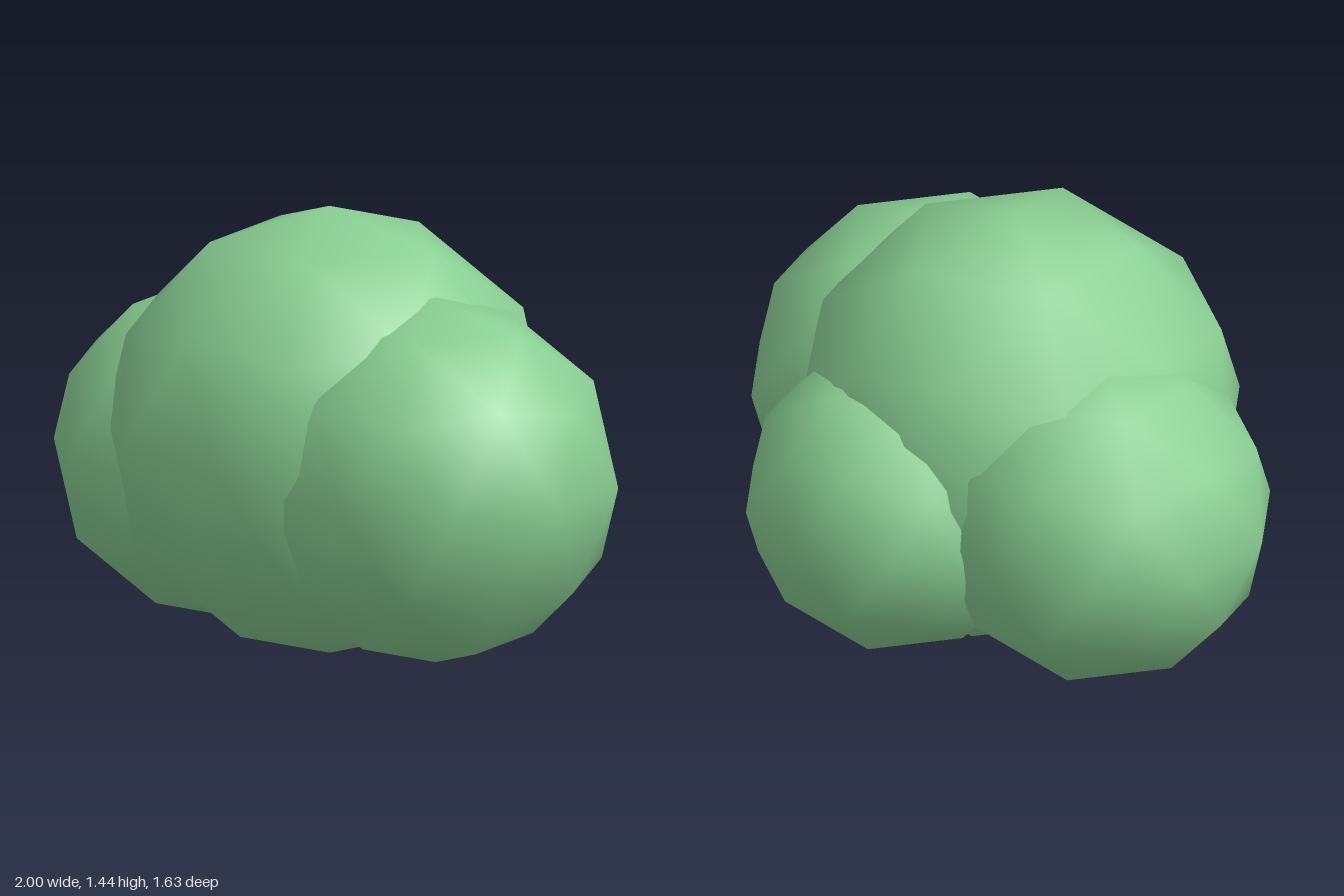
import * as THREE from 'three';

// Rounded bush made of four overlapping low-poly, smooth-shaded icospheres
export function createModel() {
  const group = new THREE.Group();
  group.name = 'bush';

  const leafGreen = new THREE.MeshStandardMaterial({ color: 0x8acf93 });
  leafGreen.name = 'leafGreen';

  // Unit icosphere tilted so one corner points straight up
  const clump = new THREE.IcosahedronGeometry(1, 1);
  clump.rotateZ(-Math.atan(2 / (1 + Math.sqrt(5))));

  // name, radius, centre
  const clumps = [
    ['mainClump', 0.718, [-0.02, 0.721, 0.097]],
    ['leftClump', 0.586, [0.44, 0.635, 0.23]],
    ['rightClump', 0.544, [-0.483, 0.59, -0.04]],
    ['backClump', 0.495, [0.11, 0.555, -0.323]],
  ];
  for (const [name, radius, centre] of clumps) {
    const mesh = new THREE.Mesh(clump, leafGreen);
    mesh.name = name;
    mesh.scale.setScalar(radius);
    mesh.position.set(...centre);
    group.add(mesh);
  }
  return group;
}
